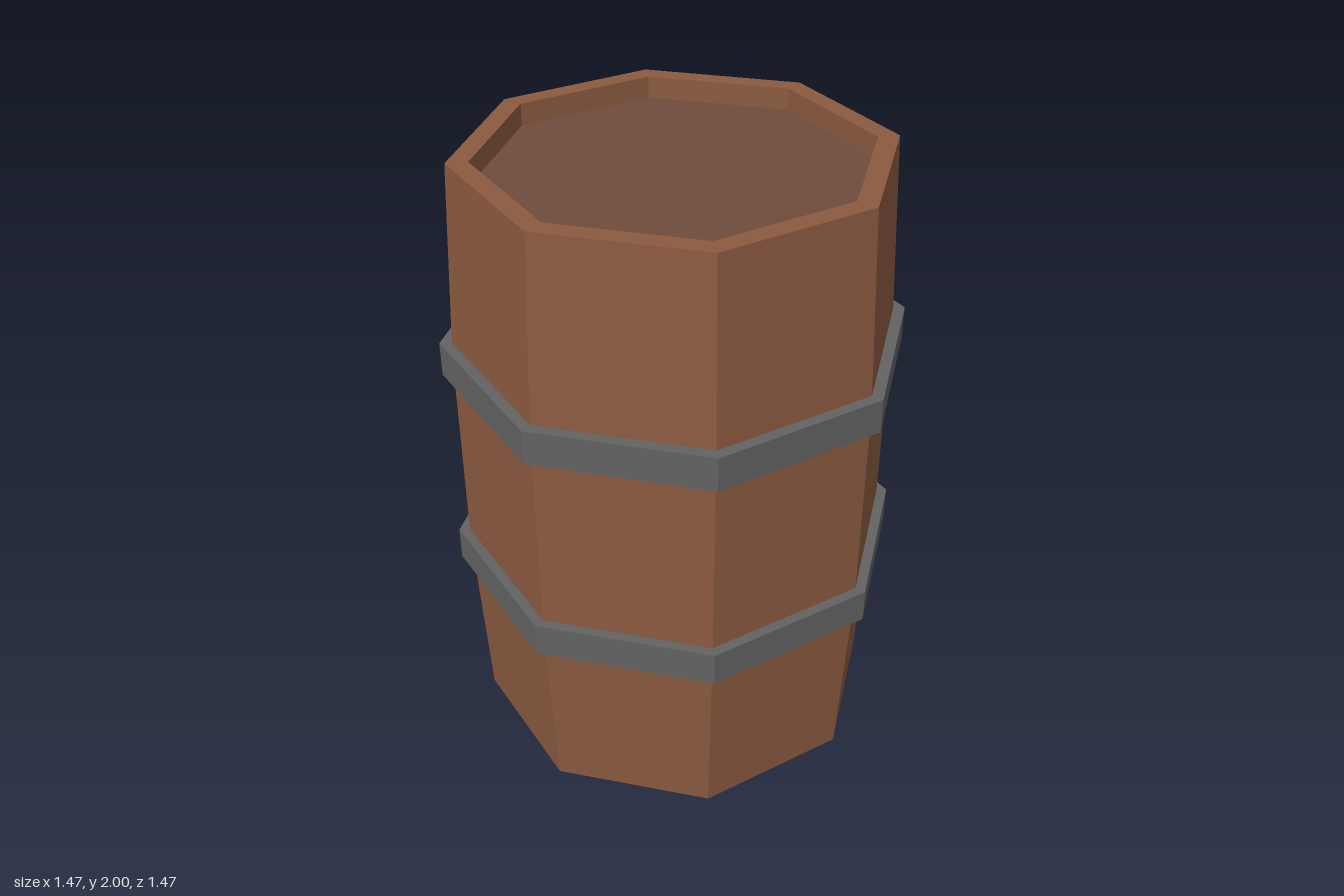
import * as THREE from 'three';

const SIDES = 8;
const material = (color) => new THREE.MeshStandardMaterial({ color, flatShading: true });

// Eight-sided solid of revolution from [radius, height] pairs
function turned(name, profile, mat) {
  const points = profile.map(([r, y]) => new THREE.Vector2(r, y));
  const mesh = new THREE.Mesh(new THREE.LatheGeometry(points, SIDES), mat);
  mesh.name = name;
  return mesh;
}

export function createModel() {
  const barrel = new THREE.Group();
  barrel.name = 'barrel';
  const wood = material(0x8b5a40);
  const lidWood = material(0x6f4c3c);
  const iron = material(0x626262);

  // Bulging staves with a flat rim and a shallow recess at each end
  barrel.add(turned('staves', [
    [0.6, 0.07], [0.6, 0], [0.667, 0], [0.7, 0.64],
    [0.7, 1.36], [0.667, 2], [0.6, 2], [0.6, 1.93],
  ], wood));

  // Sunken end boards, facing outwards
  for (const [name, y, dir] of [['topLid', 1.93, -1], ['bottomLid', 0.07, 1]]) {
    const lid = new THREE.Mesh(new THREE.CircleGeometry(0.6, SIDES), lidWood);
    lid.name = name;
    lid.rotation.x = dir * Math.PI / 2;
    lid.position.y = y;
    barrel.add(lid);
  }

  // Iron hoops
  for (const [name, y] of [['lowerHoop', 0.64], ['upperHoop', 1.36]]) {
    const hoop = turned(name, [[0.69, -0.056], [0.735, -0.056], [0.735, 0.056], [0.69, 0.056]], iron);
    hoop.position.y = y;
    barrel.add(hoop);
  }
  return barrel;
}
